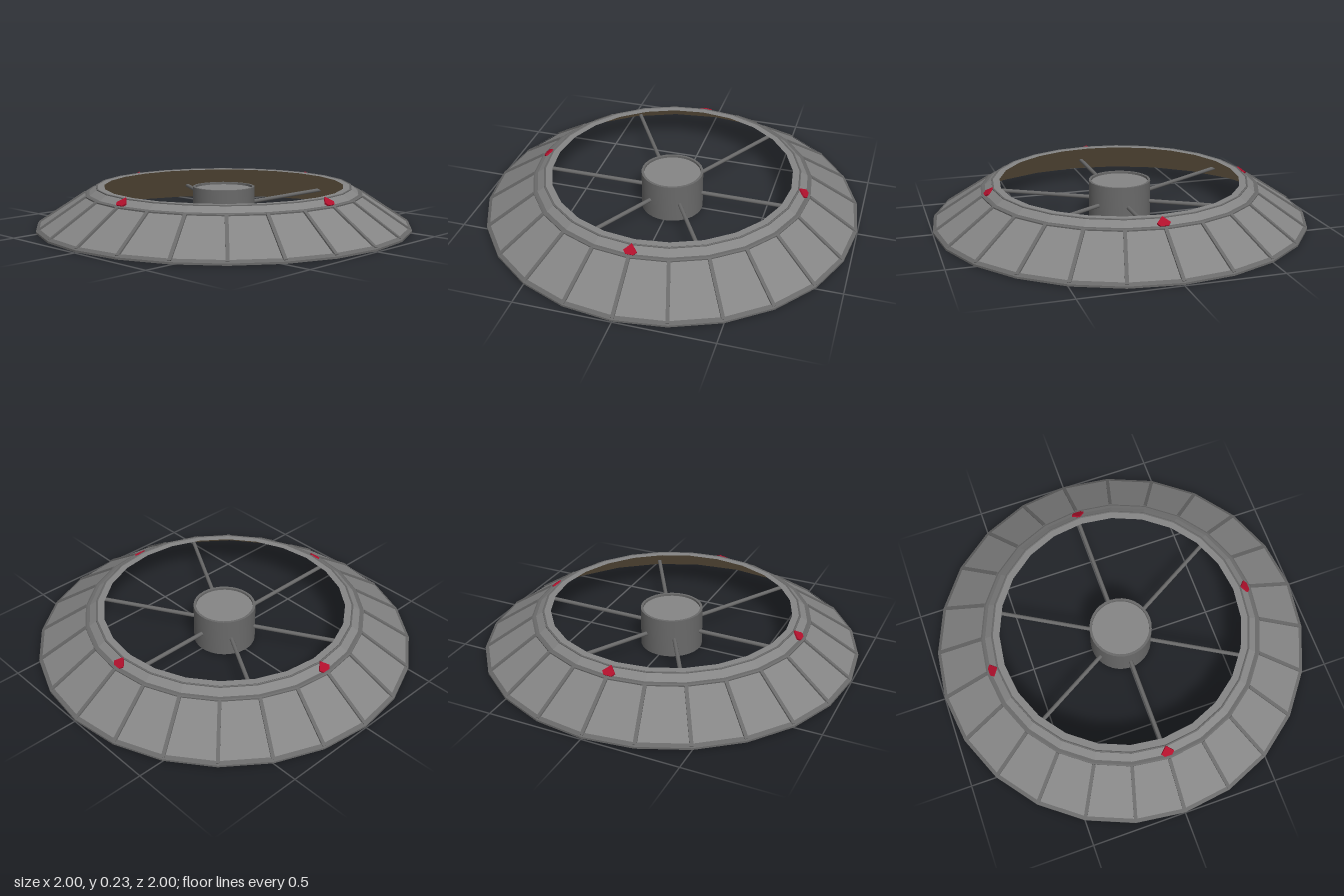
import * as THREE from 'three';
import { toCreasedNormals } from 'three/addons/utils/BufferGeometryUtils.js';

const SIDES = 24;

function material(name, color, flatShading = false) {
  const m = new THREE.MeshStandardMaterial({ color, flatShading });
  m.name = name;
  return m;
}

export function createModel() {
  const model = new THREE.Group();
  model.name = 'ringStructure';
  const grey = material('panelGrey', 0x858585);
  const dark = material('trimGrey', 0x696969);
  const brown = material('innerBrown', 0x85745a);
  const red = material('markerRed', 0xb0102c);

  const add = (name, geometry, mat, parent = model) => {
    const mesh = new THREE.Mesh(geometry, mat);
    mesh.name = name;
    parent.add(mesh);
    return mesh;
  };
  // Revolved profile given as [radius, height], running anticlockwise
  const lathe = (points, sides, crease = 0.1) => toCreasedNormals(
    new THREE.LatheGeometry(points.map(([r, y]) => new THREE.Vector2(r, y)), sides), crease);

  // Sloping outer skin, raised upper band and flat top
  add('outerPanels', lathe([[0.995, 0.012], [0.735, 0.182]], SIDES), grey);
  add('upperBand', lathe([[0.725, 0.184], [0.68, 0.218], [0.64, 0.218]], SIDES), grey);
  // Inner lining
  add('innerLining', lathe([[0.64, 0.218], [0.97, 0.006]], SIDES, 0.6), brown);
  // Thin trims at the foot, step and top edge
  add('footRim', lathe([[0.965, 0.004], [1, 0.004], [1, 0.014], [0.982, 0.026]], SIDES), dark);
  add('stepTrim', lathe([[0.742, 0.176], [0.743, 0.184], [0.735, 0.188], [0.72, 0.188]], SIDES), dark);
  add('topTrim', lathe([[0.685, 0.213], [0.685, 0.219], [0.68, 0.221], [0.675, 0.218]], SIDES), dark);

  // Ribs on the panel joints
  const ribs = new THREE.Group();
  ribs.name = 'ribs';
  model.add(ribs);
  const run = 0.25, rise = 0.1635;
  const ribGeometry = new THREE.BoxGeometry(0.018, 0.016, Math.hypot(run, rise));
  ribGeometry.rotateX(Math.atan2(rise, run));
  ribGeometry.translate(0, 0.097, 0.865);
  for (let i = 0; i < SIDES; i++) {
    add('rib', ribGeometry, dark, ribs).rotation.y = i * Math.PI * 2 / SIDES;
  }

  // Hub with a raised lip and recessed cap
  add('hubWall', lathe([[0, 0], [0.165, 0], [0.165, 0.21], [0.152, 0.21], [0.152, 0.197]], 32, 0.5), dark);
  const cap = add('hubCap', new THREE.CircleGeometry(0.153, 32), grey);
  cap.rotation.x = -Math.PI / 2;
  cap.position.y = 0.198;

  // Six spokes joining the hub to the lining
  const spokeGeometry = new THREE.CylinderGeometry(0.011, 0.011, 0.68, 8);
  spokeGeometry.rotateZ(Math.PI / 2);
  spokeGeometry.translate(0.49, 0.1, 0);
  for (let i = 0; i < 6; i++) {
    add('spoke', spokeGeometry, dark).rotation.y = i * Math.PI / 3;
  }

  // Four arrow markers lying on the upper band, pointing inward
  const arrow = new THREE.Shape([[-0.02, -0.026], [0.02, -0.026], [0.034, -0.008], [0, 0.03], [-0.034, -0.008]]
    .map(([x, y]) => new THREE.Vector2(x, y)));
  const arrowGeometry = new THREE.ExtrudeGeometry(arrow, { depth: 0.009, bevelEnabled: false });
  arrowGeometry.rotateX(-0.92);
  arrowGeometry.translate(0, 0.201, 0.703);
  for (let i = 0; i < 4; i++) {
    add('marker', arrowGeometry, red).rotation.y = i * Math.PI / 2;
  }
  return model;
}
